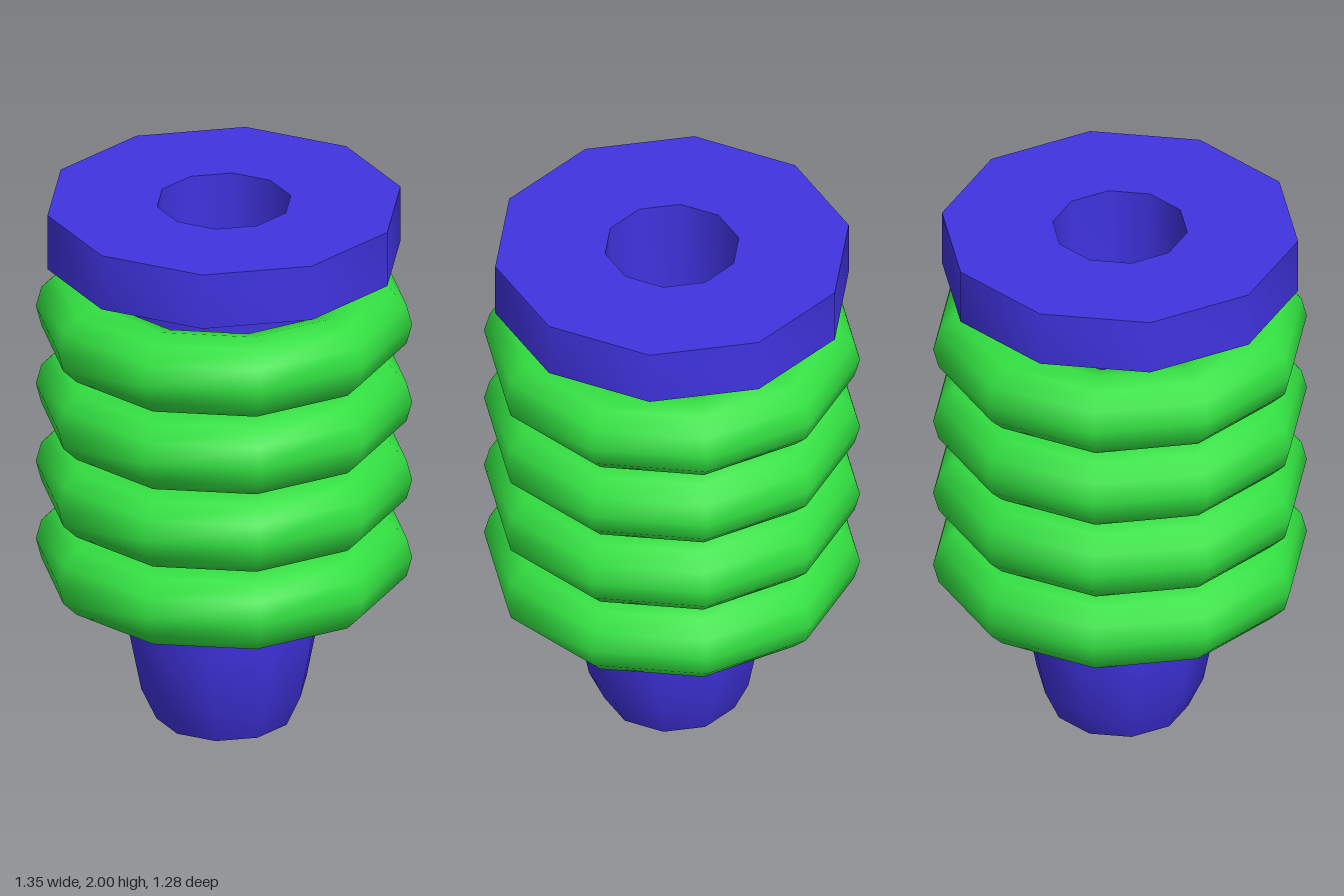
import * as THREE from 'three';
import { toCreasedNormals } from 'three/addons/utils/BufferGeometryUtils.js';

const SIDES = 10;

export function createModel() {
  const group = new THREE.Group();
  const blue = new THREE.MeshStandardMaterial({ color: 0x4033e0 });
  const green = new THREE.MeshStandardMaterial({ color: 0x33e042 });

  // Hollow core: tapered foot, straight shaft, flanged head and deep bore
  const profile = [
    [0, 0], [0.245, 0], [0.3, 0.12], [0.347, 0.36], [0.347, 1.7],
    [0.64, 1.79], [0.64, 2], [0.242, 2], [0.242, 0.01], [0, 0.01],
  ].map(([r, y]) => new THREE.Vector2(r, y));
  const core = new THREE.Mesh(
    toCreasedNormals(new THREE.LatheGeometry(profile, SIDES), THREE.MathUtils.degToRad(40)),
    blue
  );
  core.name = 'core';
  group.add(core);

  // Four stacked rings around the shaft
  const ringGeometry = new THREE.TorusGeometry(0.525, 0.149, 12, SIDES);
  ringGeometry.rotateX(Math.PI / 2);
  for (let i = 0; i < 4; i++) {
    const ring = new THREE.Mesh(ringGeometry, green);
    ring.name = `ring${i + 1}`;
    ring.position.y = 0.645 + i * 0.303;
    group.add(ring);
  }

  return group;
}
